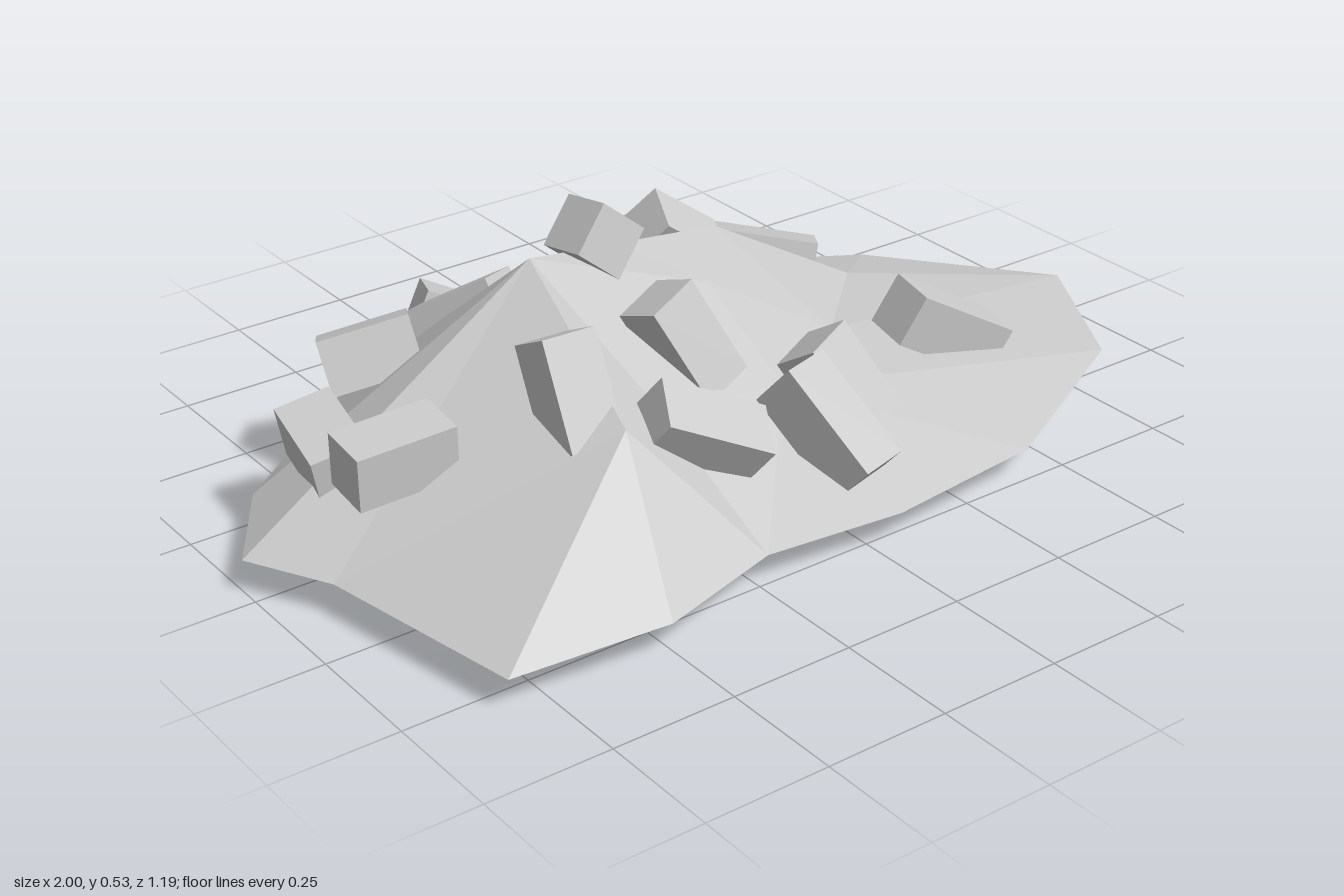
import * as THREE from 'three';

const material = new THREE.MeshStandardMaterial({ color: 0xcccccc, flatShading: true, side: THREE.DoubleSide });

// Open, faceted mound: a flat outline, a few ridge points and fans of triangles
function createMound() {
  const base = 0.065;
  const outline = [
    [-1, -0.04], [-0.87, -0.24], [-0.49, -0.53], [-0.2, -0.6], [0.05, -0.57],
    [0.45, -0.55], [0.73, -0.38], [1, -0.04], [0.82, 0.28], [0.4, 0.5],
    [0.05, 0.54], [-0.24, 0.51], [-0.51, 0.59], [-0.83, 0.565], [-0.91, 0.13],
  ].map(([x, z]) => [x, base, z]);
  const ridge = [
    [-0.32, 0.44, -0.12], [-0.09, 0.39, -0.17], [0.2, 0.33, -0.23], [0.55, 0.13, -0.22],
    [0.3, 0.17, 0.03], [0.04, 0.19, 0.2], [0.04, 0.32, -0.04], [-0.42, 0.3, 0.33], [-0.27, 0.25, 0.22],
  ];
  const [A, B, C, D, E, F, G, H, I] = ridge.map((_, i) => outline.length + i);
  // Each fan: centre, then its neighbours clockwise from above
  const fans = [
    [A, 14, 0, 1, 2, 3, B, G, I, H, 14],
    [B, 3, 4, C, G],
    [C, 4, 5, D, E, G],
    [D, 5, 6, 7, E],
    [E, 7, 8, F, G],
    [F, 8, 9, 10, 11, I, G],
    [I, 11, H],
    [H, 11, 12, 13, 14],
  ];
  const index = [];
  for (const [centre, ...rim] of fans) {
    for (let i = 0; i < rim.length - 1; i++) index.push(centre, rim[i + 1], rim[i]);
  }
  const geometry = new THREE.BufferGeometry();
  geometry.setAttribute('position', new THREE.Float32BufferAttribute([...outline, ...ridge].flat(), 3));
  geometry.setIndex(index);
  const flat = geometry.toNonIndexed();
  flat.computeVertexNormals();
  const mesh = new THREE.Mesh(flat, material);
  mesh.name = 'mound';
  return mesh;
}

// Square-section block: heading turns it about y, pitch tips its length, roll spins it about its length
function createBlock([x, y, z, heading, pitch, roll, length]) {
  const thickness = 0.11;
  const mesh = new THREE.Mesh(new THREE.BoxGeometry(length, thickness, thickness), material);
  const [rx, ry, rz] = [roll, heading, pitch].map(THREE.MathUtils.degToRad);
  mesh.rotation.set(rx, ry, rz, 'YZX');
  mesh.position.set(x, y, z);
  mesh.name = 'rubbleBlock';
  return mesh;
}

// Rows hold x, y, z, heading, pitch, roll, length
const frontBlocks = [
  [-0.165, 0.44, -0.13, -90, 10, 50, 0.12],
  [-0.13, 0.3, 0.11, -38, -60, 45, 0.21],
  [-0.45, 0.33, 0.2, 87, 63, 0, 0.21],
  [-0.24, 0.23, 0.315, -13, -26, 30, 0.23],
  [0.02, 0.18, 0.36, -74, -41, 0, 0.24],
  [0.16, 0.15, 0.255, -52, -54, 25, 0.27],
];
const sideBlocks = [
  [0.5, 0.16, 0.14, -7, -30, 5, 0.25],
  [-0.735, 0.235, 0.06, -3, 3, 5, 0.2],
  [-0.78, 0.19, -0.11, 81, 8, -12, 0.19],
];
const backBlocks = [
  [-0.585, 0.26, -0.275, -24, 13, -20, 0.18],
  [-0.34, 0.25, -0.32, -52, 29, -12, 0.2],
  [-0.24, 0.135, -0.475, -27, -24, -12, 0.24],
  [-0.01, 0.175, -0.445, -81, 28, 10, 0.23],
  [0.16, 0.28, -0.315, -3, -36, 28, 0.18],
  [0.435, 0.14, -0.385, -37, -9, -15, 0.24],
];

export function createModel() {
  const model = new THREE.Group();
  model.name = 'rubblePile';
  model.add(createMound());
  for (const [name, rows] of Object.entries({ frontBlocks, sideBlocks, backBlocks })) {
    const group = new THREE.Group();
    group.name = name;
    group.add(...rows.map(createBlock));
    model.add(group);
  }
  return model;
}
